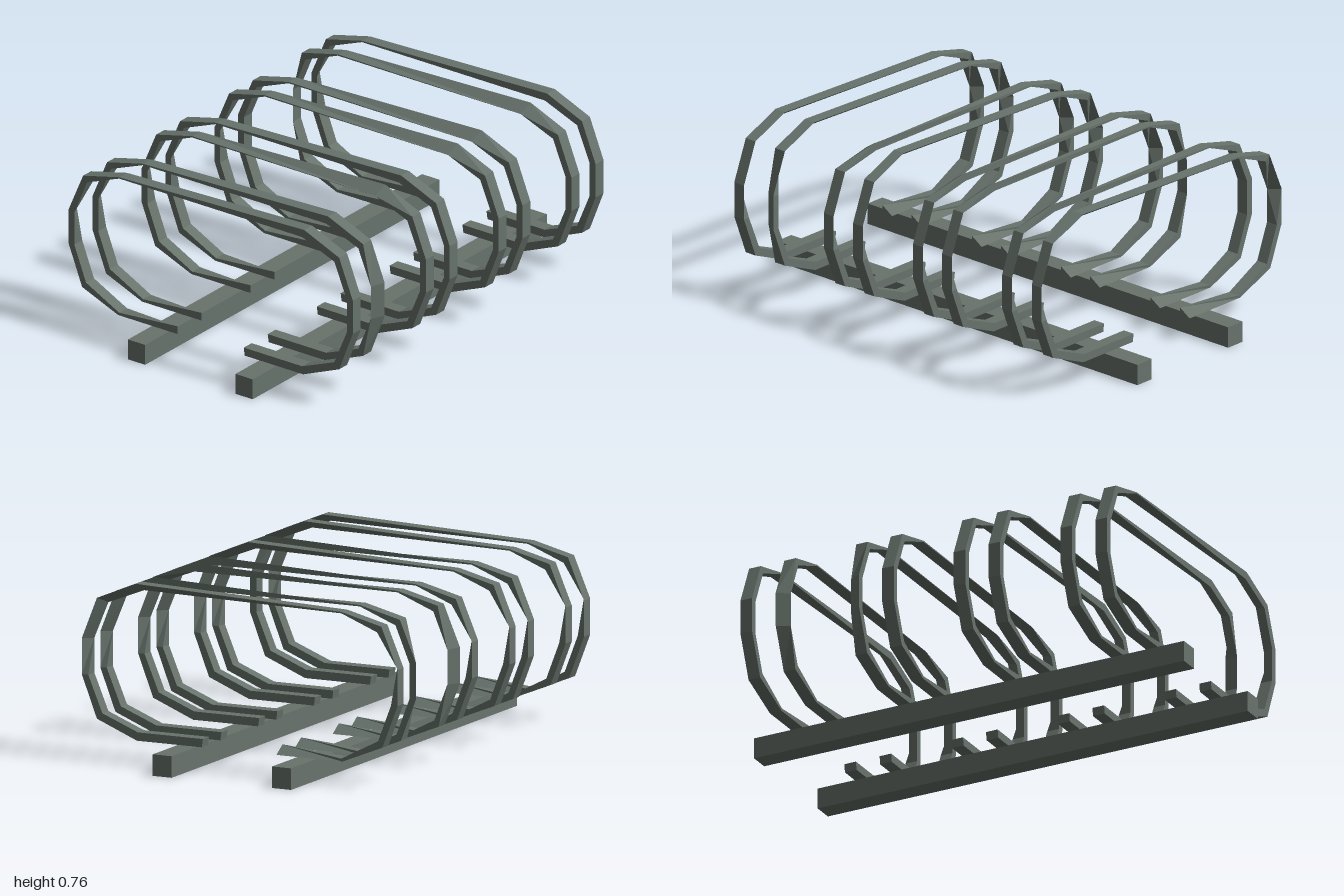
import * as THREE from 'three';

// Hoop stations: outer z, outer y, inner z, inner y (front foot round to back foot)
const STATIONS = [
  [0.175, 0.105, 0.17, 0.14],
  [0.475, 0.105, 0.47, 0.14],
  [0.66, 0.18, 0.635, 0.205],
  [0.73, 0.36, 0.70, 0.36],
  [0.73, 0.51, 0.70, 0.505],
  [0.66, 0.685, 0.635, 0.66],
  [0.48, 0.76, 0.47, 0.725],
  [-0.47, 0.73, -0.47, 0.724],
  [-0.655, 0.685, -0.635, 0.66],
  [-0.73, 0.51, -0.70, 0.505],
  [-0.73, 0.36, -0.70, 0.36],
  [-0.66, 0.18, -0.64, 0.205],
  [-0.475, 0.105, -0.47, 0.117],
  [-0.17, 0.105, -0.17, 0.14],
];
const HALF_WIDTH = 0.027;

// Stations whose inner left corner is bevelled away on every hoop
const INNER_BEVELS = [4, 5, 6, 9, 13];

// Position of each hoop; bevels lists [station, side] of clipped outer corners
const HOOPS = [
  { x: -0.835, bevels: [] },
  { x: -0.672, bevels: [[4, -1], [3, -1]] },
  { x: -0.338, bevels: [[6, -1]] },
  { x: -0.176, bevels: [] },
  { x: 0.157, bevels: [[6, -1]] },
  { x: 0.318, bevels: [[6, -1], [9, 1], [10, 1]] },
  { x: 0.652, bevels: [[6, -1], [9, -1], [10, -1]] },
  { x: 0.816, bevels: [] },
];

// Square bar swept through the stations, faceted, with closed ends
function hoopGeometry(bevels) {
  const rings = STATIONS.map(([oz, oy, iz, iy], i) => {
    const w = HALF_WIDTH;
    const ring = [[-w, oy, oz], [w, oy, oz], [w, iy, iz], [-w, iy, iz]];
    const clipped = bevels.filter(([station]) => station === i);
    if (clipped.length) {
      // clipped outer corner drops onto the inner corner of the same side
      for (const [, side] of clipped) {
        if (side < 0) ring[0] = ring[3];
        else ring[1] = ring[2];
      }
    } else if (INNER_BEVELS.includes(i)) {
      ring[2] = ring[3];
    }
    return ring;
  });
  const positions = [];
  const quad = (a, b, c, d) => positions.push(...a, ...b, ...c, ...a, ...c, ...d);
  for (let i = 0; i < rings.length - 1; i++) {
    for (let k = 0; k < 4; k++) {
      const n = (k + 1) % 4;
      quad(rings[i][k], rings[i][n], rings[i + 1][n], rings[i + 1][k]);
    }
  }
  const first = rings[0];
  const last = rings[rings.length - 1];
  quad(first[0], first[3], first[2], first[1]);
  quad(last[0], last[1], last[2], last[3]);
  const geometry = new THREE.BufferGeometry();
  geometry.setAttribute('position', new THREE.Float32BufferAttribute(positions, 3));
  geometry.computeVertexNormals();
  return geometry;
}

export function createModel() {
  const group = new THREE.Group();
  group.name = 'bikeRack';
  const steel = new THREE.MeshStandardMaterial({ color: 0x68736c });
  steel.name = 'grey green steel';

  // Two base rails
  for (const side of [1, -1]) {
    const rail = new THREE.Mesh(new THREE.BoxGeometry(2, 0.09, 0.088), steel);
    rail.name = side > 0 ? 'frontRail' : 'backRail';
    rail.position.set(0, 0.045, side * 0.276);
    group.add(rail);
  }

  // Four pairs of wheel hoops
  HOOPS.forEach(({ x, bevels }, i) => {
    const hoop = new THREE.Mesh(hoopGeometry(bevels), steel);
    hoop.name = `wheelHoop${i + 1}`;
    hoop.position.x = x;
    group.add(hoop);
  });
  return group;
}
